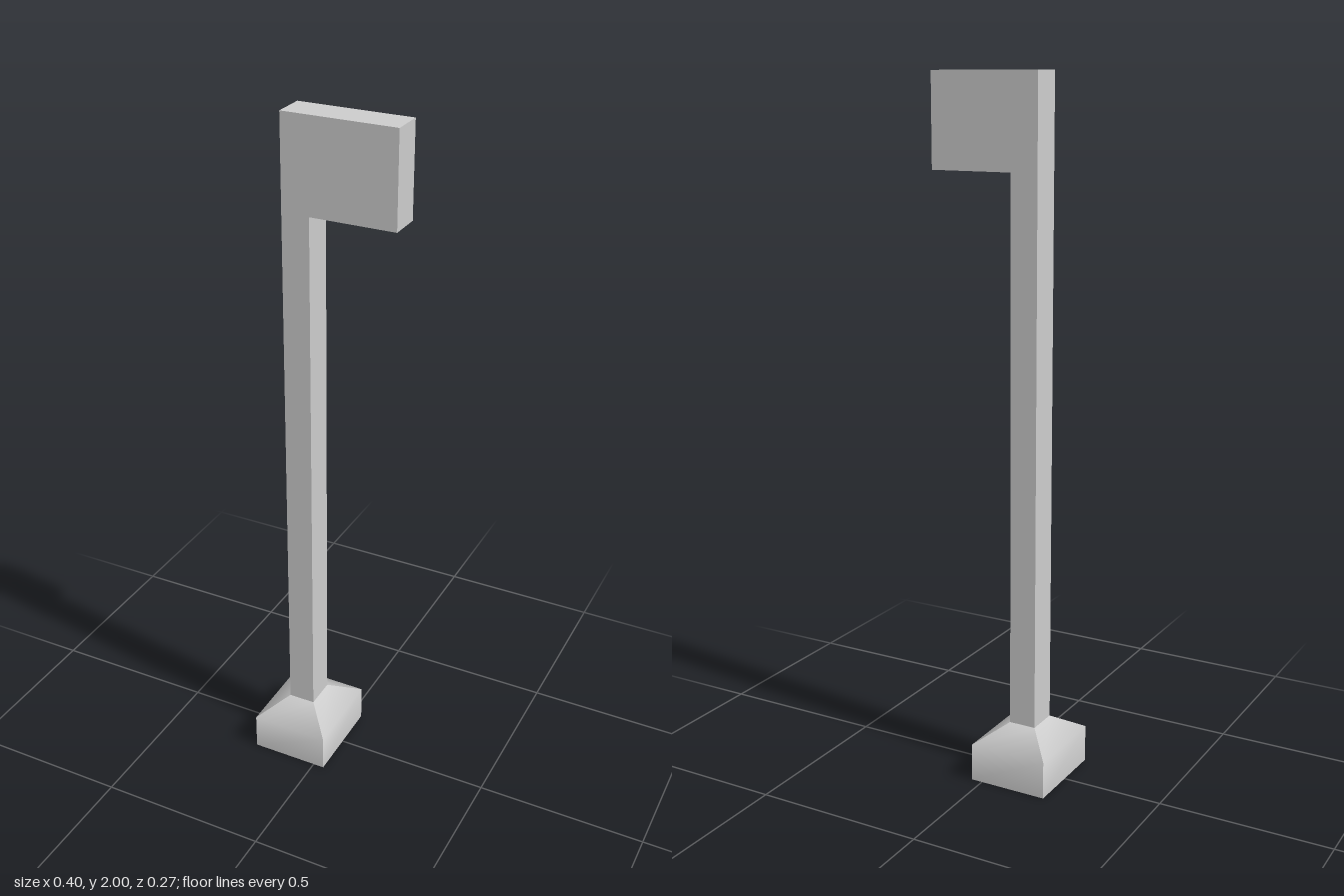
import * as THREE from 'three';

const material = new THREE.MeshStandardMaterial({ color: 0xcccccc });

// Post and flag-shaped head as one L outline, extruded in z
function makePost() {
  const outline = new THREE.Shape([
    [-0.125, 0.163], [-0.045, 0.163], [-0.045, 1.737],
    [0.2, 1.737], [0.2, 2], [-0.125, 2],
  ].map(([x, y]) => new THREE.Vector2(x, y)));
  const depth = 0.095;
  const geometry = new THREE.ExtrudeGeometry(outline, { depth, bevelEnabled: false });
  geometry.translate(0, 0, -depth / 2);
  return geometry;
}

// Footing: stacked rectangles; each side is smooth from wall to slope, with sharp corners between sides
function makeFooting() {
  const rows = [
    { y: 0, x0: -0.2, x1: 0.033, z: 0.135 },
    { y: 0.11, x0: -0.2, x1: 0.033, z: 0.135 },
    { y: 0.163, x0: -0.125, x1: -0.045, z: 0.0475 },
  ];
  const corners = ({ y, x0, x1, z }) => [[x0, y, z], [x1, y, z], [x1, y, -z], [x0, y, -z]];
  const positions = [];
  const indices = [];

  for (let side = 0; side < 4; side++) {
    const start = positions.length / 3;
    rows.forEach((row, r) => {
      const c = corners(row);
      positions.push(...c[side], ...c[(side + 1) % 4]);
      if (r === 0) return;
      const a = start + (r - 1) * 2;
      indices.push(a, a + 1, a + 3, a, a + 3, a + 2);
    });
  }

  // Underside
  const b = positions.length / 3;
  positions.push(...corners(rows[0]).flat());
  indices.push(b, b + 2, b + 1, b, b + 3, b + 2);

  const geometry = new THREE.BufferGeometry();
  geometry.setAttribute('position', new THREE.Float32BufferAttribute(positions, 3));
  geometry.setIndex(indices);
  geometry.computeVertexNormals();
  return geometry;
}

export function createModel() {
  const model = new THREE.Group();
  model.name = 'signalPost';
  const add = (name, geometry) => {
    const mesh = new THREE.Mesh(geometry, material);
    mesh.name = name;
    model.add(mesh);
  };
  add('postAndHead', makePost());
  add('footing', makeFooting());
  return model;
}
